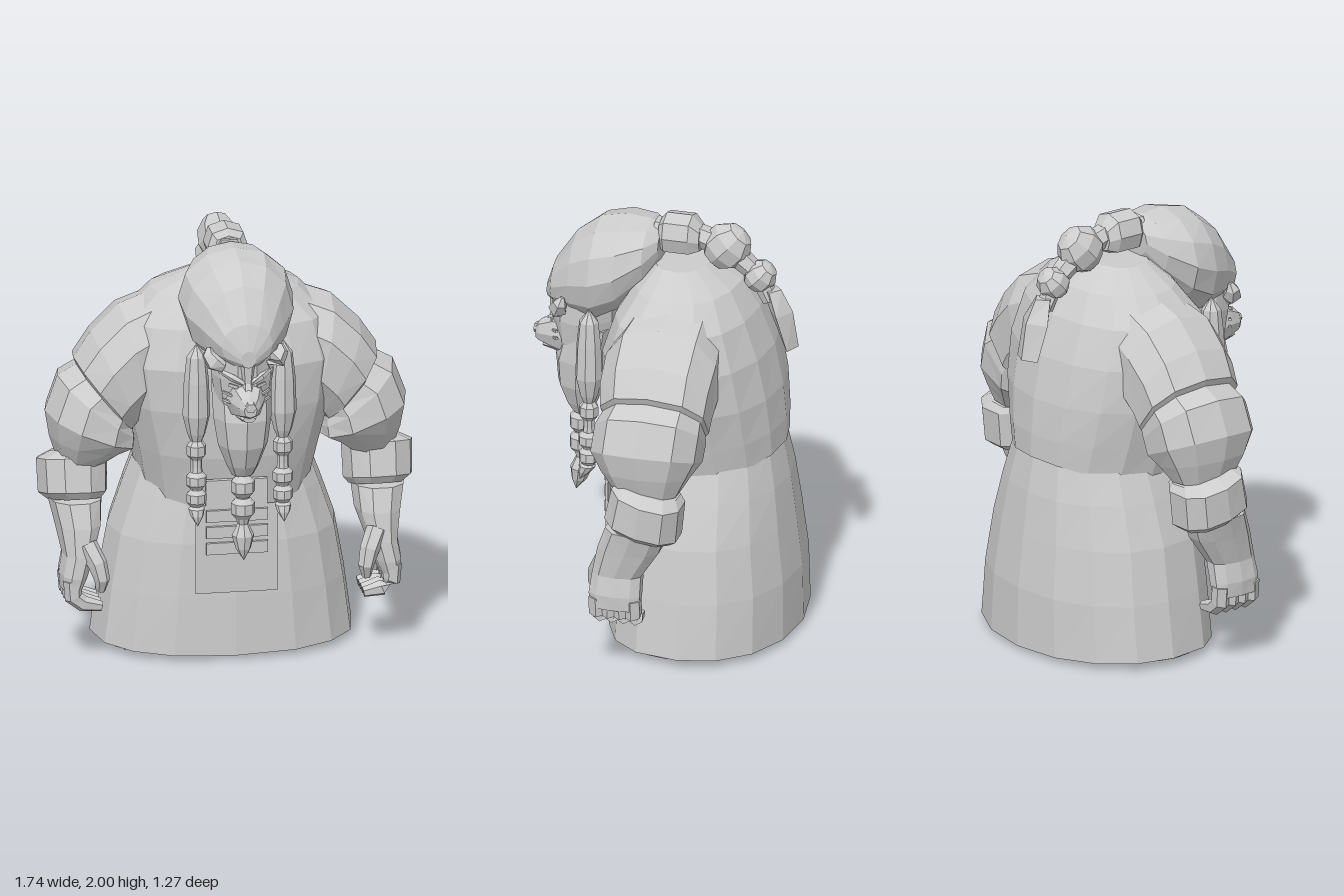
import * as THREE from 'three';

const V = (x, y, z) => new THREE.Vector3(x, y, z);

export function createModel() {
  const root = new THREE.Group();
  root.name = 'braidedElder';
  const grey = new THREE.MeshStandardMaterial({ color: 0xcccccc, flatShading: true, side: THREE.DoubleSide });
  grey.name = 'plainGrey';

  const add = (name, geo, parent = root) => {
    const m = new THREE.Mesh(geo, grey);
    m.name = name;
    parent.add(m);
    return m;
  };

  // Closed ring of n points: centre c, half axes u and v; p < 1 squares it off, pBack does so behind
  const oval = (c, u, v, n = 12, p = 1, pBack = p) => Array.from({ length: n }, (_, i) => {
    const a = (i / n) * Math.PI * 2;
    const e = i > n / 2 ? pBack : p;
    const q = t => Math.sign(t) * Math.pow(Math.abs(t) < 1e-6 ? 0 : Math.abs(t), e);
    return c.clone().addScaledVector(u, q(Math.cos(a))).addScaledVector(v, q(Math.sin(a)));
  });

  // Skin over a list of rings, turned so that faces point outward
  const loft = (rings, caps = true) => {
    const tris = [];
    const n = rings[0].length;
    for (let r = 0; r + 1 < rings.length; r++) for (let i = 0; i < n; i++) {
      const j = (i + 1) % n, a = rings[r], b = rings[r + 1];
      tris.push([a[i], b[i], a[j]], [a[j], b[i], b[j]]);
    }
    if (caps) [[rings[0], false], [rings[rings.length - 1], true]].forEach(([ring, top]) => {
      for (let i = 1; i + 1 < n; i++) tris.push(top ? [ring[0], ring[i + 1], ring[i]] : [ring[0], ring[i], ring[i + 1]]);
    });
    const mid = rings.flat().reduce((s, p) => s.add(p), V(0, 0, 0)).divideScalar(n * rings.length);
    const rel = p => p.clone().sub(mid);
    const vol = tris.reduce((s, [a, b, c]) => s + rel(a).dot(rel(b).cross(rel(c))), 0);
    const pts = tris.flatMap(([a, b, c]) => (vol < 0 ? [a, c, b] : [a, b, c]));
    const g = new THREE.BufferGeometry().setFromPoints(pts);
    g.computeVertexNormals();
    return g;
  };

  // Horizontal section (tilt lifts the front), and upright section facing z
  const ySec = (y, hw, zf, zb, tilt = 0, n = 16, p = 1, pBack = p, x = 0) =>
    oval(V(x, y, (zf + zb) / 2), V(hw, 0, 0), V(0, tilt, (zf - zb) / 2), n, p, pBack);
  const zSec = (z, hw, y0, y1, n = 12, p = 1) =>
    oval(V(0, (y0 + y1) / 2, z), V(hw, 0, 0), V(0, (y1 - y0) / 2, 0), n, p);
  // Tube through [x, y, z, radius] stations
  const limb = (st, n = 6) => loft(st.map(([x, y, z, r], i) => {
    const a = st[Math.max(i - 1, 0)], b = st[Math.min(i + 1, st.length - 1)];
    const d = V(b[0] - a[0], b[1] - a[1], b[2] - a[2]).normalize();
    const u = Math.abs(d.x) > 0.9 ? V(0, 1, 0) : V(1, 0, 0);
    u.addScaledVector(d, -u.dot(d)).normalize();
    return oval(V(x, y, z), u.clone().multiplyScalar(r), d.cross(u).multiplyScalar(r), n);
  }));

  // Robe: open skirt below, broad-chested overhanging top above
  const robe = (y, hw, zf, zb, tilt, p = 0.8) => ySec(y, hw, zf, zb, tilt, 16, p, 0.97);
  const hem = robe(0.02, 0.605, 0.235, -0.635, 0);
  hem.forEach(p => { p.y += 0.05 * p.x * p.x; });
  add('skirt', loft([
    hem, robe(0.3, 0.57, 0.225, -0.63), robe(0.55, 0.525, 0.21, -0.60),
    robe(0.75, 0.455, 0.18, -0.575), robe(0.93, 0.385, 0.14, -0.54),
  ], false));
  add('torso', loft([
    robe(0.81, 0.395, 0.195, -0.555, -0.11), robe(1.0, 0.44, 0.25, -0.555, -0.03, 0.75), robe(1.2, 0.49, 0.265, -0.54, 0, 0.68),
    robe(1.4, 0.51, 0.26, -0.5, 0, 0.65), robe(1.58, 0.47, 0.205, -0.43, 0, 0.7), robe(1.705, 0.345, 0.13, -0.345), robe(1.785, 0.17, 0.05, -0.2),
  ]));

  // Apron and slatted belt plate
  const box = (name, w, h, d, x, y, z, parent) => {
    const m = add(name, new THREE.BoxGeometry(w, h, d), parent);
    m.position.set(x, y, z);
    return m;
  };
  box('apron', 0.38, 0.42, 0.01, 0, 0.54, 0.243);
  box('beltPlate', 0.285, 0.37, 0.025, 0, 0.685, 0.238);
  for (let i = 0; i < 3; i++) box('beltSlat', 0.285, 0.055, 0.02, 0, 0.547 + i * 0.078, 0.256);

  // Swept-back hair with a widow's peak
  add('hair', loft([
    zSec(0.025, 0.11, 1.77, 1.935), zSec(0.08, 0.2, 1.66, 1.96), zSec(0.2, 0.265, 1.52, 1.97), zSec(0.32, 0.25, 1.45, 1.945),
    zSec(0.43, 0.19, 1.46, 1.86), zSec(0.53, 0.12, 1.5, 1.71), zSec(0.57, 0.035, 1.51, 1.59),
  ]));

  // Face, muzzle and beard
  add('face', loft([
    ySec(1.22, 0.09, 0.5, 0.26, 0, 10), ySec(1.32, 0.125, 0.53, 0.26, 0, 10),
    ySec(1.44, 0.145, 0.545, 0.25, 0, 10), ySec(1.57, 0.14, 0.55, 0.25, 0, 10),
  ]));
  add('muzzle', loft([
    zSec(0.46, 0.1, 1.24, 1.44, 8, 0.8), zSec(0.545, 0.075, 1.26, 1.42, 8, 0.8),
    zSec(0.605, 0.05, 1.28, 1.385, 8, 0.8), zSec(0.625, 0.03, 1.29, 1.36, 8, 0.8),
  ]));
  add('nose', loft([zSec(0.58, 0.028, 1.335, 1.39, 6), zSec(0.635, 0.026, 1.315, 1.36, 6)]));
  add('noseBridge', loft([ySec(1.36, 0.03, 0.6, 0.5, 0, 6), ySec(1.43, 0.026, 0.56, 0.5, 0, 6), ySec(1.53, 0.04, 0.565, 0.5, 0, 6)]));
  add('lowerLip', loft([zSec(0.5, 0.05, 1.235, 1.29, 6), zSec(0.59, 0.03, 1.255, 1.285, 6)]));
  add('beard', loft([
    ySec(0.95, 0.05, 0.45, 0.37, 0, 8), ySec(1.0, 0.075, 0.485, 0.34, 0, 8), ySec(1.1, 0.115, 0.525, 0.3, 0, 8),
    ySec(1.23, 0.135, 0.535, 0.27, 0, 8), ySec(1.4, 0.14, 0.49, 0.25, 0, 8),
  ]));

  // Bead profile pieces joined into one braid
  const bead = (y, r, h) => [[r * 0.6, y - h], [r, y - h * 0.5], [r, y + h * 0.5], [r * 0.6, y + h]];
  const braid = (pairs, lean) => {
    const g = new THREE.LatheGeometry(pairs.map(([r, y]) => new THREE.Vector2(r, y)), 8).toNonIndexed();
    const p = g.attributes.position;
    for (let i = 0; i < p.count; i++) p.setZ(i, p.getZ(i) + lean(p.getY(i)));
    g.computeVertexNormals();
    return g;
  };
  add('beardBraid', braid([[0, 0.545], [0.035, 0.6], [0.052, 0.66], [0.025, 0.715],
    ...bead(0.79, 0.055, 0.05), ...bead(0.895, 0.055, 0.05), [0, 0.96]],
  y => (y < 0.66 ? 0.41 + (0.66 - y) * 0.26 : 0.415)));

  // Crown braid trailing down the back
  add('crownBead', loft([zSec(0.035, 0.07, 1.83, 1.97, 8, 0.8), zSec(0.01, 0.095, 1.81, 2.0, 8, 0.8),
    zSec(-0.11, 0.095, 1.81, 2.0, 8, 0.8), zSec(-0.155, 0.065, 1.83, 1.95, 8, 0.8)]));
  add('braidCord', limb([[0, 1.9, 0.06, 0.07], [0, 1.9, -0.15, 0.055], [0, 1.86, -0.28, 0.06], [0, 1.74, -0.42, 0.045], [0, 1.62, -0.48, 0.04]]));
  [[1.865, -0.275, 0.115, 0.095], [1.735, -0.43, 0.078, 0.078]].forEach(([y, z, r, hw]) => {
    const m = add('backBead', new THREE.SphereGeometry(r, 8, 5));
    m.position.set(0, y, z);
    m.rotation.x = -0.75;
    m.scale.x = hw / r;
  });
  add('braidTail', loft([
    ySec(1.4, 0.075, -0.54, -0.612, 0, 4), ySec(1.57, 0.09, -0.475, -0.585, 0, 4), ySec(1.675, 0.05, -0.44, -0.53, 0, 4),
  ]));

  [-1, 1].forEach(s => {
    const side = new THREE.Group();
    side.name = s > 0 ? 'leftSide' : 'rightSide';
    root.add(side);

    // Ears, brows, eyes and whisker marks
    const ear = [[0.1, 1.5, 0.49, 0.03], [0.145, 1.52, 0.485, 0.045], [0.17, 1.555, 0.47, 0.032], [0.165, 1.585, 0.46, 0.012]];
    add('ear', limb(ear.map(([x, y, z, r]) => [x * s, y, z, r]), 5), side);
    add('brow', limb([[s * 0.015, 1.43, 0.545, 0.012], [s * 0.065, 1.455, 0.53, 0.018], [s * 0.12, 1.475, 0.48, 0.01]], 5), side);
    box('eye', 0.045, 0.014, 0.008, s * 0.065, 1.418, 0.538, side).rotation.set(0, s * 0.35, s * 0.25);
    for (let i = 0; i < 2; i++) box('whisker', 0.05, 0.01, 0.012, s * 0.088, 1.375 - i * 0.035, 0.515, side).rotation.set(0, s * 0.6, s * 0.25);

    // Hanging side lock ending in beads
    const lock = add('sideLock', braid([[0, 0.695], [0.03, 0.74], [0.038, 0.77], ...bead(0.82, 0.046, 0.04), ...bead(0.905, 0.048, 0.04),
      [0.026, 0.97], [0.026, 1.0], ...bead(1.05, 0.045, 0.045), [0.042, 1.13], [0.064, 1.22], [0.058, 1.38], [0.045, 1.5], [0, 1.56]],
    y => 0.325 + Math.max(0, 0.78 - y) * 0.5), side);
    lock.position.x = s * 0.2;

    // Arm sections from outer and inner edge points; k raises the front edge
    const cut = (xo, yo, xi, yi, zc, hz, k = 0) => oval(V(s * (xo + xi) / 2, (yo + yi) / 2, zc),
      V(s * (xo - xi) / 2, (yo - yi) / 2, 0), V(0, k * hz, hz), 10, 0.85);
    add('sleeve', loft([
      cut(0.33, 1.69, 0.28, 1.2, -0.1, 0.24), cut(0.49, 1.635, 0.37, 1.13, -0.085, 0.27),
      cut(0.62, 1.51, 0.41, 1.09, -0.08, 0.265), cut(0.7, 1.39, 0.43, 1.06, -0.085, 0.255), cut(0.68, 1.34, 0.43, 1.05, -0.085, 0.238),
    ]), side);
    add('upperArm', loft([
      cut(0.66, 1.37, 0.43, 1.06, -0.085, 0.235), cut(0.775, 1.31, 0.42, 1.02, -0.075, 0.255), cut(0.835, 1.15, 0.42, 0.98, -0.065, 0.255),
      cut(0.815, 1.03, 0.49, 0.95, -0.07, 0.205), cut(0.78, 0.92, 0.56, 0.9, -0.08, 0.15),
    ]), side);
    add('cuff', loft([
      cut(0.8, 0.945, 0.56, 0.93, -0.095, 0.14, 0.25), cut(0.87, 0.91, 0.54, 0.91, -0.095, 0.165, 0.25),
      cut(0.865, 0.755, 0.545, 0.75, -0.07, 0.175, 0.25), cut(0.82, 0.72, 0.57, 0.72, -0.065, 0.145, 0.25),
    ]), side);
    add('forearm', loft([
      cut(0.825, 0.74, 0.575, 0.74, -0.045, 0.15), cut(0.8, 0.63, 0.585, 0.63, -0.005, 0.15), cut(0.775, 0.5, 0.63, 0.5, 0.05, 0.12),
      cut(0.79, 0.41, 0.66, 0.4, 0.055, 0.125), cut(0.785, 0.34, 0.69, 0.335, 0.055, 0.12),
    ]), side);

    // Curled fingers and thumb
    [0.135, 0.08, 0.025, -0.03].forEach(z => add('finger', limb([
      [s * 0.74, 0.39, z, 0.043], [s * 0.735, 0.31, z, 0.043], [s * 0.69, 0.275, z, 0.038], [s * 0.605, 0.258, z, 0.024],
    ]), side));
    add('thumb', limb([[s * 0.67, 0.55, 0.12, 0.05], [s * 0.628, 0.47, 0.165, 0.045], [s * 0.61, 0.4, 0.18, 0.036], [s * 0.615, 0.345, 0.165, 0.022]]), side);

    // Short legs and broad toed feet under the robe
    add('leg', limb([[s * 0.39, 0.05, -0.17, 0.085], [s * 0.37, 0.2, -0.19, 0.09], [s * 0.34, 0.35, -0.2, 0.1]], 8), side);
    add('foot', loft([
      ySec(0, 0.115, 0.0, -0.25, 0, 10, 0.7, 0.7, s * 0.41), ySec(0.04, 0.12, 0.0, -0.255, 0, 10, 0.7, 0.7, s * 0.41),
      ySec(0.13, 0.085, -0.07, -0.24, 0, 10, 0.7, 0.7, s * 0.39),
    ]), side);
    [-0.075, 0, 0.075].forEach(dx => add('toe', limb([
      [s * (0.395 + dx), 0.05, -0.06, 0.042], [s * (0.395 + dx), 0.05, 0.0, 0.042], [s * (0.395 + dx), 0.03, 0.045, 0.025],
    ]), side));
  });
  return root;
}
